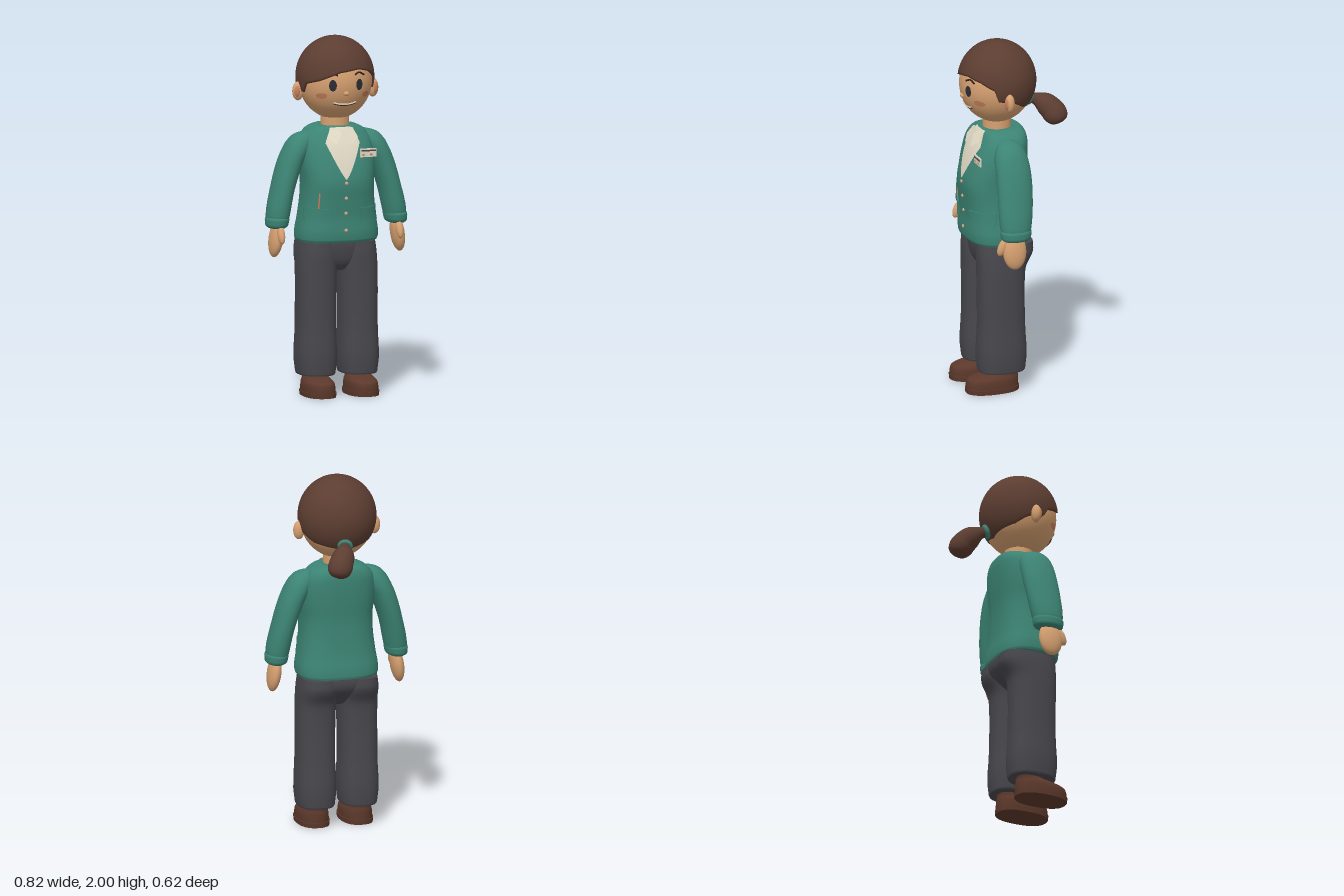
import * as THREE from 'three';

const mat = (name, color, side = THREE.FrontSide) => {
  const m = new THREE.MeshStandardMaterial({ color, side });
  m.name = name;
  return m;
};

// Closed-ring surface: point(i, j) for rows from top to bottom, with flat end caps
function ringSurface(rows, cols, point) {
  const pos = [], idx = [];
  for (let i = 0; i <= rows; i++)
    for (let j = 0; j < cols; j++) pos.push(...point(i, (j / cols) * Math.PI * 2));
  for (let i = 0; i < rows; i++)
    for (let j = 0; j < cols; j++) {
      const k = (j + 1) % cols, a = i * cols + j, b = i * cols + k;
      idx.push(a, b, a + cols, b, b + cols, a + cols);
    }
  for (const end of [0, rows]) {
    const start = pos.length / 3, c = [0, 0, 0];
    for (let j = 0; j < cols; j++) {
      const p = point(end, (j / cols) * Math.PI * 2);
      pos.push(...p);
      p.forEach((v, n) => { c[n] += v / cols; });
    }
    pos.push(...c);
    for (let j = 0; j < cols; j++) {
      const a = start + j, b = start + ((j + 1) % cols);
      idx.push(start + cols, ...(end ? [a, b] : [b, a]));
    }
  }
  const g = new THREE.BufferGeometry();
  g.setAttribute('position', new THREE.Float32BufferAttribute(pos, 3));
  g.setIndex(idx);
  g.computeVertexNormals();
  return g;
}

// Smooth body profile; each row is [y, centreX, halfX, centreZ, halfZ], bottom first
function profile(rows) {
  const curve = new THREE.CubicInterpolant(rows.map(r => r[0]), rows.flatMap(r => r.slice(1)), 4);
  return y => Array.from(curve.evaluate(y));
}
const superPower = (v, n) => Math.sign(v) * Math.pow(Math.abs(v), 2 / n);

function loft(rows, n = 2, side = 1, steps = 4) {
  const at = profile(rows), last = rows.length - 1;
  return ringSurface(last * steps, 40, (i, a) => {
    const t = last - i / steps, k = Math.min(Math.floor(t), last - 1);
    const y = rows[k][0] + (rows[k + 1][0] - rows[k][0]) * (t - k);
    const [cx, hx, cz, hz] = at(y);
    return [side * cx + hx * superPower(Math.cos(a), n), y, cz + hz * superPower(Math.sin(a), n)];
  });
}

export function createModel() {
  const model = new THREE.Group();
  model.name = 'standingFigure';
  const skin = mat('skin', 0xd6a070), hair = mat('hairBrown', 0x5c3d31);
  const teal = mat('jacketTeal', 0x3c8474), grey = mat('trouserGrey', 0x48474d);
  const shoe = mat('shoeBrown', 0x5c382b), cream = mat('shirtCream', 0xe0d8c4, THREE.DoubleSide);
  const dark = mat('eyeDark', 0x2b2d36), brow = mat('browBrown', 0x35211b);
  const blush = mat('blush', 0xc47f5c), copper = mat('buttonCopper', 0xd0a48c);

  const add = (name, geo, material, p = [0, 0, 0], s = [1, 1, 1]) => {
    const m = new THREE.Mesh(geo, material);
    m.name = name;
    m.position.set(...p);
    m.scale.set(...s);
    model.add(m);
    return m;
  };
  const ball = new THREE.SphereGeometry(1, 32, 24);
  // Bends a flat geometry onto a front surface z = f(x, y)
  const drape = (geo, f, offset) => {
    const p = geo.attributes.position;
    for (let i = 0; i < p.count; i++) p.setZ(i, p.getZ(i) + f(p.getX(i), p.getY(i)) + offset);
    geo.computeVertexNormals();
    return geo;
  };

  // Jacket body
  const bodyRows = [
    [0.865, 0, 0.222, 0.091, 0.172], [0.88, 0, 0.228, 0.093, 0.178], [1.0, 0, 0.215, 0.1, 0.17],
    [1.1, 0, 0.203, 0.107, 0.17], [1.2, 0, 0.2, 0.111, 0.173], [1.3, 0, 0.208, 0.096, 0.166],
    [1.4, 0, 0.203, 0.075, 0.15], [1.46, 0, 0.18, 0.061, 0.133], [1.495, 0, 0.135, 0.058, 0.117],
    [1.505, 0, 0.1, 0.06, 0.105]];
  const bodyAt = profile(bodyRows);
  const bodyZ = (x, y) => {
    const [, hx, cz, hz] = bodyAt(y), u = Math.min(Math.abs(x / hx), 0.985);
    return cz + hz * Math.pow(1 - Math.pow(u, 2.7), 1 / 2.7);
  };
  add('jacketBody', loft(bodyRows, 2.7), teal);

  // Shirt front: a V with its top tucked towards the neck
  const vee = new THREE.PlaneGeometry(2, 0.28, 12, 24).translate(0, 1.36, 0);
  const vp = vee.attributes.position;
  for (let i = 0; i < vp.count; i++) {
    const y = vp.getY(i);
    vp.setX(i, vp.getX(i) * (y < 1.42 ? 0.1 * Math.pow((y - 1.22) / 0.2, 0.8) : 0.1 - (y - 1.42) * 0.5));
  }
  add('shirtFront', drape(vee, bodyZ, 0.005), cream);

  // Buttons
  for (const y of [1.2, 1.115, 1.03, 0.935])
    add('jacketButton', ball, copper, [0, y, bodyZ(0, y) + 0.002], [0.01, 0.01, 0.007]);

  // Name badge and pen
  add('badge', new THREE.BoxGeometry(0.095, 0.048, 0.008), cream, [0.14, 1.36, 0.243]);
  add('badgeStripe', new THREE.BoxGeometry(0.085, 0.008, 0.003), grey, [0.14, 1.372, 0.248]);
  for (const x of [0.11, 0.155])
    add('badgeMark', new THREE.BoxGeometry(0.012, 0.012, 0.003), blush, [x, 1.349, 0.248]);
  const pen = add('pen', new THREE.CapsuleGeometry(0.005, 0.08, 4, 8), blush, [-0.148, 1.1, bodyZ(-0.148, 1.1) + 0.004]);
  pen.rotation.z = -0.08;

  // Hips
  add('hips', loft([
    [0.7, 0, 0.04, 0.1, 0.08], [0.74, 0, 0.12, 0.095, 0.115], [0.8, 0, 0.2, 0.077, 0.15],
    [0.86, 0, 0.21, 0.075, 0.157], [0.92, 0, 0.195, 0.08, 0.14]], 2.4), grey);

  // Head, nose and neck
  const headC = [0, 1.755, 0.08], headR = [0.205, 0.22, 0.206];
  const headZ = (x, y) => headC[2] + headR[2] * Math.sqrt(Math.max(0,
    1 - (x / headR[0]) ** 2 - ((y - headC[1]) / headR[1]) ** 2));
  add('head', new THREE.SphereGeometry(1, 48, 32), skin, headC, headR);
  add('neck', new THREE.CylinderGeometry(0.078, 0.08, 0.13, 32), skin, [0, 1.525, 0.077]);
  add('nose', ball, skin, [0, 1.703, headZ(0, 1.703)], [0.016, 0.013, 0.013]);

  // Hair cap with a swept fringe: edge height by angle from the front, towards +x
  const edge = [[-180, 1.61], [-120, 1.65], [-98, 1.69], [-85, 1.7], [-74, 1.7], [-66, 1.75], [-40, 1.775],
    [-10, 1.82], [20, 1.835], [45, 1.815], [66, 1.775], [72, 1.71], [85, 1.7], [98, 1.69], [120, 1.65], [180, 1.61]];
  const edgeY = deg => {
    const k = Math.max(1, edge.findIndex(e => e[0] >= deg));
    const [a, ya] = edge[k - 1], [b, yb] = edge[k];
    return ya + (yb - ya) * (deg - a) / (b - a);
  };
  const hairRows = 28;
  add('hairCap', ringSurface(hairRows, 120, (i, a) => {
    const deg = THREE.MathUtils.radToDeg(Math.atan2(Math.cos(a), Math.sin(a)));
    const lip = i === hairRows ? 0.9 : 1;
    const end = Math.acos((edgeY(deg) - 1.772) / 0.228);
    const t = Math.max(0.002, Math.min(1, i / (hairRows - 1))) * end, r = 0.219 * lip * Math.sin(t);
    return [r * Math.cos(a), 1.772 + 0.228 * Math.cos(t), 0.076 + r * Math.sin(a)];
  }), hair);

  // Ponytail: a tube whose radius swells along its path
  const path = new THREE.CatmullRomCurve3([[0.005, 1.65, -0.1], [0.02, 1.635, -0.15], [0.043, 1.607, -0.198],
    [0.072, 1.56, -0.238], [0.09, 1.5, -0.258]].map(p => new THREE.Vector3(...p)));
  const radius = new THREE.CubicInterpolant([0, 0.2, 0.4, 0.6, 0.8, 0.93, 0.98, 1],
    [0.025, 0.034, 0.058, 0.066, 0.067, 0.05, 0.028, 0.001], 1);
  const tail = new THREE.TubeGeometry(path, 40, 1, 24), tp = tail.attributes.position;
  for (let i = 0; i < tp.count; i++) {
    const t = Math.floor(i / 25) / 40, c = path.getPointAt(t);
    const v = new THREE.Vector3().fromBufferAttribute(tp, i).sub(c).multiplyScalar(radius.evaluate(t)[0]).add(c);
    tp.setXYZ(i, v.x, v.y, v.z);
  }
  tail.computeVertexNormals();
  add('ponytail', tail, hair);
  const tie = add('hairTie', new THREE.TorusGeometry(0.03, 0.013, 12, 28), teal, [0.01, 1.645, -0.118]);
  tie.lookAt(0.03, 1.62, -0.18);

  // Mouth
  const smile = y0 => new THREE.CatmullRomCurve3([-0.065, -0.035, 0, 0.035, 0.065].map(x => {
    const y = y0 + 2.5 * x * x;
    return new THREE.Vector3(x, y, headZ(x, y) + 0.001);
  }));
  add('teeth', new THREE.TubeGeometry(smile(1.639), 20, 0.0045, 8), cream);
  add('mouthLine', new THREE.TubeGeometry(smile(1.633), 20, 0.0028, 8), brow);

  // Paired parts
  for (const s of [1, -1]) {
    const side = s > 0 ? 'left' : 'right';

    add(side + 'Eye', drape(new THREE.CircleGeometry(1, 28).scale(0.02, 0.032, 1)
      .translate(s * 0.077, 1.75, 0), headZ, 0.006), dark);
    add(side + 'Brow', new THREE.TubeGeometry(new THREE.CatmullRomCurve3(
      [[0.048, 1.805], [0.08, 1.817], [0.112, 1.8]].map(([x, y]) =>
        new THREE.Vector3(s * x, y, headZ(x, y) + 0.003))), 12, 0.005, 8), brow);
    add(side + 'Cheek', drape(new THREE.CircleGeometry(1, 24).scale(0.026, 0.017, 1)
      .translate(s * 0.128, 1.688, 0), headZ, 0.003), blush);
    add(side + 'Ear', ball, skin, [s * 0.218, 1.7, 0.083], [0.032, 0.053, 0.027]);
    add(side + 'InnerEar', ball, blush, [s * 0.226, 1.7, 0.098], [0.017, 0.034, 0.015]);

    // Collar flap standing off the chest
    const flap = new THREE.Shape([[0.004, 1.475], [0.03, 1.503], [0.065, 1.498], [0.088, 1.447], [0.042, 1.412]]
      .map(([x, y]) => new THREE.Vector2(s * x, y)));
    add(side + 'CollarFlap', drape(new THREE.ShapeGeometry(flap),
      (x, y) => 0.205 + (1.49 - y) * 0.65 - Math.abs(x) * 0.15, 0), cream);

    // Pocket flap
    const pocket = new THREE.BoxGeometry(0.122, 0.085, 0.02, 12, 6, 1);
    pocket.rotateZ(s * 0.05).translate(s * 0.148, 1.017, 0);
    add(side + 'Pocket', drape(pocket, bodyZ, 0), teal);

    // Sleeve and cuff
    add(side + 'Sleeve', loft([
      [0.97, 0.343, 0.058, 0.095, 0.08], [1.02, 0.338, 0.064, 0.094, 0.09], [1.15, 0.311, 0.064, 0.085, 0.099],
      [1.3, 0.264, 0.07, 0.078, 0.1], [1.38, 0.227, 0.073, 0.078, 0.094], [1.43, 0.203, 0.065, 0.078, 0.077],
      [1.46, 0.184, 0.045, 0.078, 0.05], [1.473, 0.17, 0.015, 0.078, 0.018]], 2.1, s), teal);
    add(side + 'Cuff', loft([
      [0.943, 0.348, 0.045, 0.096, 0.068], [0.952, 0.347, 0.057, 0.096, 0.081], [0.975, 0.345, 0.063, 0.096, 0.088],
      [0.998, 0.343, 0.062, 0.096, 0.088], [1.008, 0.342, 0.052, 0.096, 0.078]], 2.1, s), teal);

    // Hand
    const hand = add(side + 'Hand', ball, skin, [s * 0.354, 0.882, 0.107], [0.037, 0.104, 0.068]);
    hand.rotation.z = s * 0.14;
    const thumb = add(side + 'Thumb', ball, skin, [s * 0.345, 0.912, 0.172], [0.021, 0.055, 0.028]);
    thumb.rotation.x = -0.45;

    // Trouser leg
    add(side + 'Leg', loft([
      [0.115, 0.122, 0.1, 0.098, 0.129], [0.125, 0.122, 0.104, 0.098, 0.133], [0.4, 0.122, 0.106, 0.099, 0.132],
      [0.65, 0.12, 0.108, 0.1, 0.133], [0.72, 0.118, 0.109, 0.096, 0.138], [0.8, 0.115, 0.109, 0.076, 0.16],
      [0.86, 0.112, 0.104, 0.074, 0.158]], 2.5, s), grey);

    // Shoe with a sole welt
    add(side + 'Sole', loft([[0, 0.125, 0.089, 0.153, 0.152], [0.026, 0.125, 0.091, 0.153, 0.154]], 2.4, s), shoe);
    add(side + 'Shoe', loft([
      [0.02, 0.125, 0.086, 0.153, 0.15], [0.06, 0.125, 0.085, 0.152, 0.149], [0.08, 0.125, 0.08, 0.146, 0.142],
      [0.095, 0.125, 0.07, 0.125, 0.118], [0.11, 0.125, 0.062, 0.09, 0.083], [0.14, 0.125, 0.058, 0.08, 0.072]],
      2.3, s), shoe);
  }
  return model;
}
